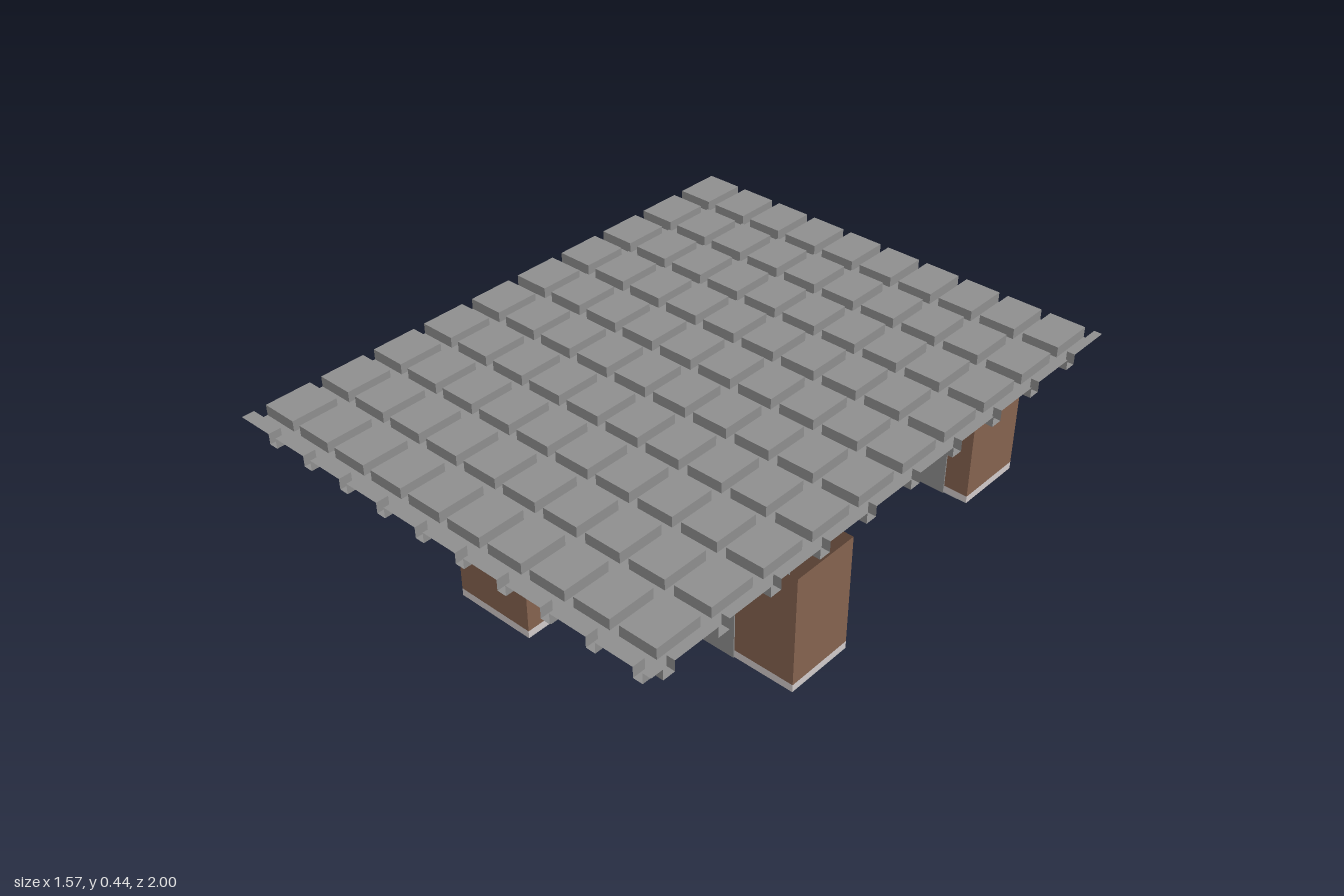
import * as THREE from 'three';
import { mergeGeometries } from 'three/addons/utils/BufferGeometryUtils.js';

const mat = (name, color) => {
  const m = new THREE.MeshStandardMaterial({ color, side: THREE.DoubleSide });
  m.name = name;
  return m;
};

const WALL_TOP = 0.39, BOARD = 0.025, DOOR_H = 0.235;

export function createModel() {
  const brown = mat('brown wall', 0x84624f);
  const grey = mat('door and ceiling grey', 0x8e8e8e);
  const pale = mat('pale skirting', 0xd0c9c9);
  const floorGrey = mat('floor grey', 0xc4c4c4);
  const dark = mat('dark metal', 0x383838);

  const model = new THREE.Group();
  model.name = 'corridorBuilding';
  const add = (parent, name, geo, material) => {
    const mesh = new THREE.Mesh(geo, material);
    mesh.name = name;
    parent.add(mesh);
    return mesh;
  };
  const rect = (Type, x0, x1, y0, y1) => new Type()
    .moveTo(x0, y0).lineTo(x1, y0).lineTo(x1, y1).lineTo(x0, y1).closePath();

  // Door leaf with an opening; win = [u0, u1, y0, y1]
  function door(parent, [a, b, win]) {
    const leaf = rect(THREE.Shape, a, b, 0, DOOR_H);
    const w = win.length === 2 ? [...win, 0.035, 0.19] : win;
    leaf.holes.push(rect(THREE.Path, ...w));
    const geo = new THREE.ExtrudeGeometry(leaf, { depth: 0.008, bevelEnabled: false });
    add(parent, 'door', geo.translate(0, 0, -0.004), grey);
    // handle on the side nearer the window
    const mid = (w[0] + w[1]) / 2;
    const hx = mid < (a + b) / 2 ? a + 0.012 : b - 0.012;
    add(parent, 'doorHandle', new THREE.BoxGeometry(0.008, 0.006, 0.018).translate(hx, 0.1, 0), dark);
  }

  // Wall sheet along x (or z) from a to b at offset c, notched for its doors
  function wall(name, axis, c, a, b, doors = []) {
    const g = new THREE.Group();
    g.name = name;
    if (axis === 'z') {
      g.rotation.y = -Math.PI / 2;
      g.position.x = c;
    } else g.position.z = c;
    const sheet = new THREE.Shape().moveTo(a, WALL_TOP).lineTo(a, BOARD);
    let from = a;
    const skirting = (u0, u1) =>
      add(g, 'skirting', new THREE.PlaneGeometry(u1 - u0, BOARD).translate((u0 + u1) / 2, BOARD / 2, 0), pale);
    for (const d of doors) {
      sheet.lineTo(d[0], BOARD).lineTo(d[0], DOOR_H).lineTo(d[1], DOOR_H).lineTo(d[1], BOARD);
      skirting(from, d[0]);
      from = d[1];
      door(g, d);
    }
    skirting(from, b);
    sheet.lineTo(b, BOARD).lineTo(b, WALL_TOP).closePath();
    add(g, 'wallSheet', new THREE.ShapeGeometry(sheet), brown);
    model.add(g);
  }

  // Doors: [start, end, window]
  const leftDoors = [[-0.655, -0.51, [-0.618, -0.602]], [-0.38, -0.235, [-0.345, -0.329]]];
  const rightDoors = [[0.16, 0.305, [0.192, 0.208]], [0.43, 0.578, [0.468, 0.484]]];
  const rightDoorsMirrored = [[0.16, 0.305, [0.215, 0.231]], [0.43, 0.578, [0.495, 0.511]]];
  const hallDoors = [[-0.41, -0.265, [-0.372, -0.356]], [-0.013, 0.132, [0.026, 0.042]]];

  // Rear corridor
  wall('rearWall', 'x', -0.765, -0.7, 0.66);
  wall('rearCorridorLeftEnd', 'z', -0.7, -0.765, -0.525);
  wall('rearCorridorRightEnd', 'z', 0.66, -0.765, -0.525);
  wall('rearCorridorFrontWallA', 'x', -0.525, -0.7, -0.16, leftDoors);
  wall('rearCorridorFrontWallB', 'x', -0.525, 0.11, 0.66, rightDoors);
  // Main corridor
  wall('mainCorridorWallA', 'z', -0.16, -0.525, 0.78, [...hallDoors, [0.555, 0.7, [0.597, 0.612]]]);
  wall('mainCorridorWallB', 'z', 0.11, -0.525, 0.23, hallDoors);
  wall('mainCorridorWallC', 'z', 0.11, 0.46, 0.78, [[0.555, 0.7, [0.562, 0.69, 0.13, 0.226]]]);
  wall('mainCorridorFrontEnd', 'x', 0.78, -0.16, 0.11);
  // Side corridor
  wall('sideCorridorFrontWall', 'x', 0.46, 0.11, 0.78, rightDoors);
  wall('sideCorridorRearWall', 'x', 0.23, 0.11, 0.78, rightDoorsMirrored);
  wall('sideCorridorEnd', 'z', 0.78, 0.23, 0.46);

  // Floor slabs
  for (const [name, x0, x1, z0, z1] of [
    ['rearFloor', -0.7, 0.66, -0.765, -0.525],
    ['mainFloor', -0.16, 0.11, -0.525, 0.78],
    ['sideFloor', 0.11, 0.78, 0.23, 0.46],
  ]) {
    const geo = new THREE.BoxGeometry(x1 - x0, 0.004, z1 - z0);
    add(model, name, geo.translate((x0 + x1) / 2, 0.002, (z0 + z1) / 2), floorGrey);
  }

  // Thin pipe along the outside of the left walls
  const path = new THREE.CurvePath();
  const pts = [[-0.7, 0.33, -0.519], [-0.7, 0.31, -0.519], [-0.166, 0.31, -0.519],
    [-0.166, 0.31, 0.786], [-0.055, 0.31, 0.786]].map(p => new THREE.Vector3(...p));
  for (let i = 1; i < pts.length; i++) path.add(new THREE.LineCurve3(pts[i - 1], pts[i]));
  path.curves.forEach(c => add(model, 'pipe', new THREE.TubeGeometry(c, 1, 0.004, 6), dark));

  // Coffered ceiling: raised panels between sunken channels
  const X0 = -0.79, X1 = 0.78, LOW = 0.4, HIGH = 0.435;
  const spans = (start, end, pitch, size) => {
    const out = [];
    for (let s = start; s < end - 0.001; s += pitch) out.push([s, Math.min(s + size, end)]);
    return out;
  };
  const cols = spans(X0, X1, 0.1543, 0.123);
  const rows = spans(-1, 1, 0.1959, 0.155);
  const parts = [];
  const flat = (x0, x1, z0, z1, y) => parts.push(new THREE.PlaneGeometry(x1 - x0, z1 - z0)
    .rotateX(-Math.PI / 2).translate((x0 + x1) / 2, y, (z0 + z1) / 2));
  const midY = (LOW + HIGH) / 2, rise = HIGH - LOW;
  cols.forEach(([x0, x1], i) => {
    rows.forEach(([z0, z1], j) => {
      flat(x0, x1, z0, z1, HIGH);
      // panel sides, left open along the outer rim; normals point into the channels
      const sideX = (x, turn) => parts.push(new THREE.PlaneGeometry(z1 - z0, rise)
        .rotateY(turn * Math.PI / 2).translate(x, midY, (z0 + z1) / 2));
      const sideZ = (z, turn) => parts.push(new THREE.PlaneGeometry(x1 - x0, rise)
        .rotateY(turn).translate((x0 + x1) / 2, midY, z));
      if (i > 0) sideX(x0, -1);
      if (i < cols.length - 1) sideX(x1, 1);
      if (j > 0) sideZ(z0, Math.PI);
      if (j < rows.length - 1) sideZ(z1, 0);
      // channel piece between this panel and the next row
      if (j < rows.length - 1) flat(x0, x1, z1, rows[j + 1][0], LOW);
    });
    if (i < cols.length - 1) flat(x1, cols[i + 1][0], -1, 1, LOW);
  });
  add(model, 'cofferedCeiling', mergeGeometries(parts), grey);

  return model;
}
